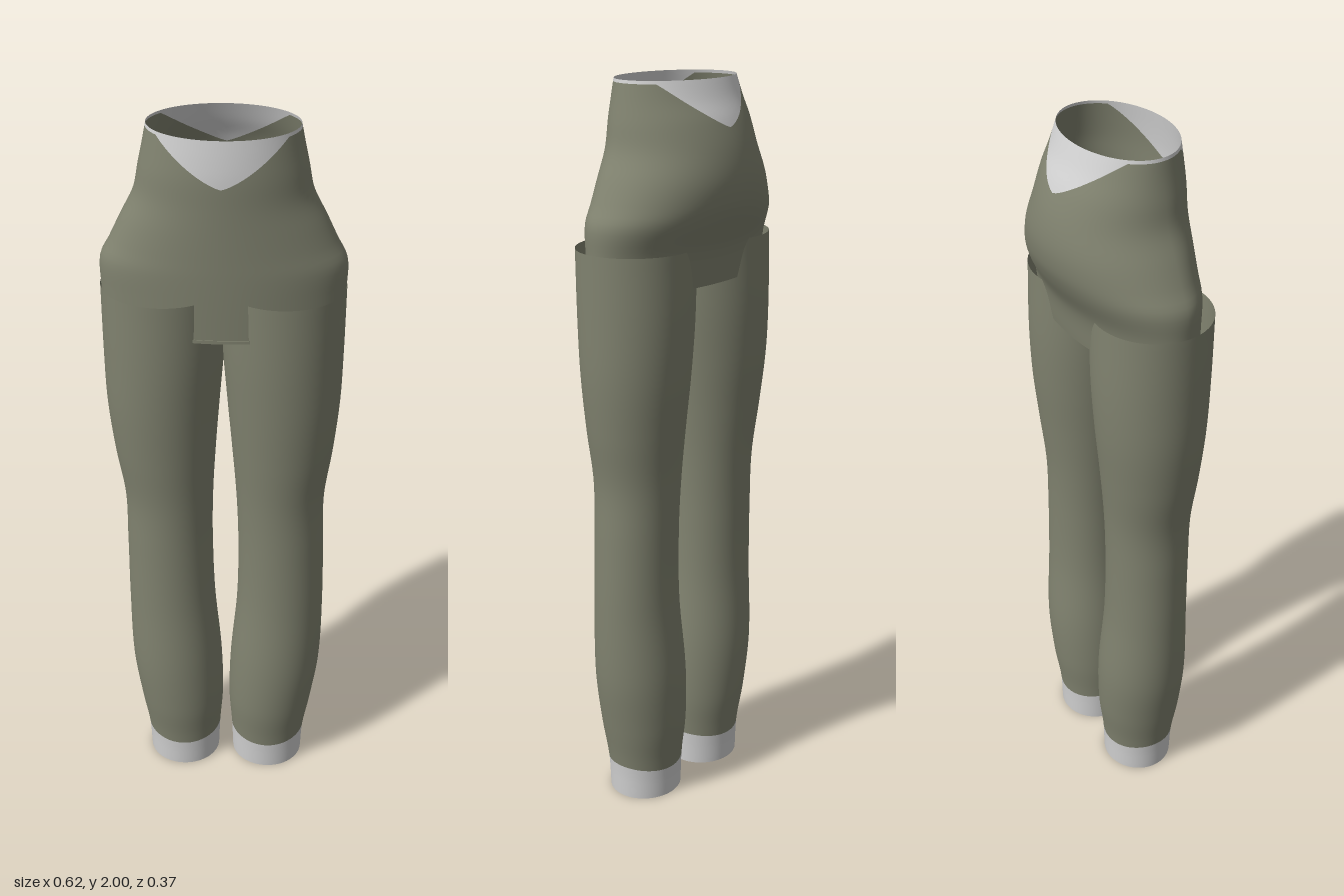
import * as THREE from 'three';

const olive = new THREE.MeshStandardMaterial({ color: 0x80826f, side: THREE.DoubleSide });
olive.name = 'olive cloth';
const grey = new THREE.MeshStandardMaterial({ color: 0xd0d0d0, side: THREE.DoubleSide });
grey.name = 'pale grey trim';

// Cross-section rows: [height, width values..., front z, back z]
const HIPS = [ // y, half width, front, back
  [1.485, 0.306, 0.163, -0.115], [1.58, 0.309, 0.165, -0.13], [1.655, 0.308, 0.166, -0.163],
  [1.7, 0.285, 0.166, -0.178], [1.76, 0.256, 0.166, -0.183], [1.83, 0.221, 0.166, -0.172],
  [1.9, 0.206, 0.166, -0.148], [1.95, 0.195, 0.162, -0.122], [2.0, 0.185, 0.156, -0.1],
];
const LEG = [ // y, inner x, outer x, front, back
  [0, 0.022, 0.23, 0.13, -0.068], [0.1, 0.018, 0.235, 0.135, -0.072], [0.22, 0.01, 0.254, 0.15, -0.088],
  [0.38, 0.014, 0.274, 0.155, -0.095], [0.6, 0.032, 0.277, 0.146, -0.082], [0.8, 0.036, 0.274, 0.144, -0.081],
  [0.95, 0.032, 0.273, 0.147, -0.086], [1.1, 0.022, 0.293, 0.16, -0.1], [1.25, 0.01, 0.307, 0.172, -0.115],
  [1.4, -0.002, 0.31, 0.18, -0.122], [1.585, -0.012, 0.31, 0.184, -0.12],
];

// Smooth interpolation of a row table at height y
function sample(rows, y) {
  let i = 0;
  while (i < rows.length - 2 && y > rows[i + 1][0]) i++;
  const a = rows[i], b = rows[i + 1], h = b[0] - a[0];
  const p = rows[Math.max(i - 1, 0)], n = rows[Math.min(i + 2, rows.length - 1)];
  const t = (y - a[0]) / h, t2 = t * t, t3 = t2 * t;
  return a.slice(1).map((v, j) => {
    const k = j + 1;
    const ma = h * (b[k] - p[k]) / (b[0] - p[0]), mb = h * (n[k] - a[k]) / (n[0] - a[0]);
    return (2 * t3 - 3 * t2 + 1) * v + (t3 - 2 * t2 + t) * ma + (3 * t2 - 2 * t3) * b[k] + (t3 - t2) * mb;
  });
}

// Points on the hip and leg surfaces at angle a and height y
function hipPoint(a, y) {
  const [w, f, b] = sample(HIPS, y), c = 0.025, s = Math.sin(a);
  return [w * Math.cos(a), y, c + s * (s > 0 ? f - c : c - b)];
}
const legPoint = side => (a, y) => {
  const [inner, outer, f, b] = sample(LEG, y);
  const sway = 0.008 * (1 - THREE.MathUtils.smoothstep(y, 0.5, 1.3));
  const x = side * (inner + outer) / 2 + sway;
  return [x + (outer - inner) / 2 * Math.cos(a), y, (f + b) / 2 + (f - b) / 2 * Math.sin(a)];
};

// Open tube between two edges, each a height that may vary with the angle
function shell(name, point, low, high, rows, material) {
  const SEG = 96, pos = [], index = [];
  for (let r = 0; r <= rows; r++) {
    for (let i = 0; i < SEG; i++) {
      const a = i / SEG * Math.PI * 2;
      pos.push(...point(a, THREE.MathUtils.lerp(low(a), high(a), r / rows)));
      if (r === rows) continue;
      const p = r * SEG + i, q = r * SEG + (i + 1) % SEG;
      index.push(p, p + SEG, q, q, p + SEG, q + SEG);
    }
  }
  const g = new THREE.BufferGeometry();
  g.setAttribute('position', new THREE.Float32BufferAttribute(pos, 3));
  g.setIndex(index);
  g.computeVertexNormals();
  const mesh = new THREE.Mesh(g, material);
  mesh.name = name;
  return mesh;
}

export function createModel() {
  const model = new THREE.Group();
  model.name = 'trousers';

  // Hips, with a pale V-shaped yoke at front and back
  const yokeEdge = a => Math.min(1.992, 1.885 + 0.135 * Math.pow(Math.abs(Math.cos(a)), 1.25));
  model.add(shell('hips', hipPoint, () => 1.485, yokeEdge, 36, olive));
  model.add(shell('waistYoke', hipPoint, yokeEdge, () => 2, 8, grey));

  // Half floor inside the front of the hips
  const floorShape = new THREE.Shape();
  floorShape.absellipse(0, 0, 0.304, 0.14, 0, Math.PI, false);
  const floor = new THREE.Mesh(
    new THREE.ExtrudeGeometry(floorShape, { depth: 0.009, bevelEnabled: false, curveSegments: 48 }), olive);
  floor.name = 'crotchPanel';
  floor.rotation.x = Math.PI / 2;
  floor.position.set(0, 1.489, 0.025);
  model.add(floor);

  // Legs with pale ankle cuffs
  for (const side of [1, -1]) {
    const leg = new THREE.Group();
    leg.name = side > 0 ? 'leftLeg' : 'rightLeg';
    const cuffEdge = a => 0.093 + 0.006 * Math.cos(2 * a);
    leg.add(shell('trouserLeg', legPoint(side), cuffEdge, () => 1.585, 60, olive));
    leg.add(shell('ankleCuff', legPoint(side), () => 0, cuffEdge, 4, grey));
    model.add(leg);
  }
  return model;
}
